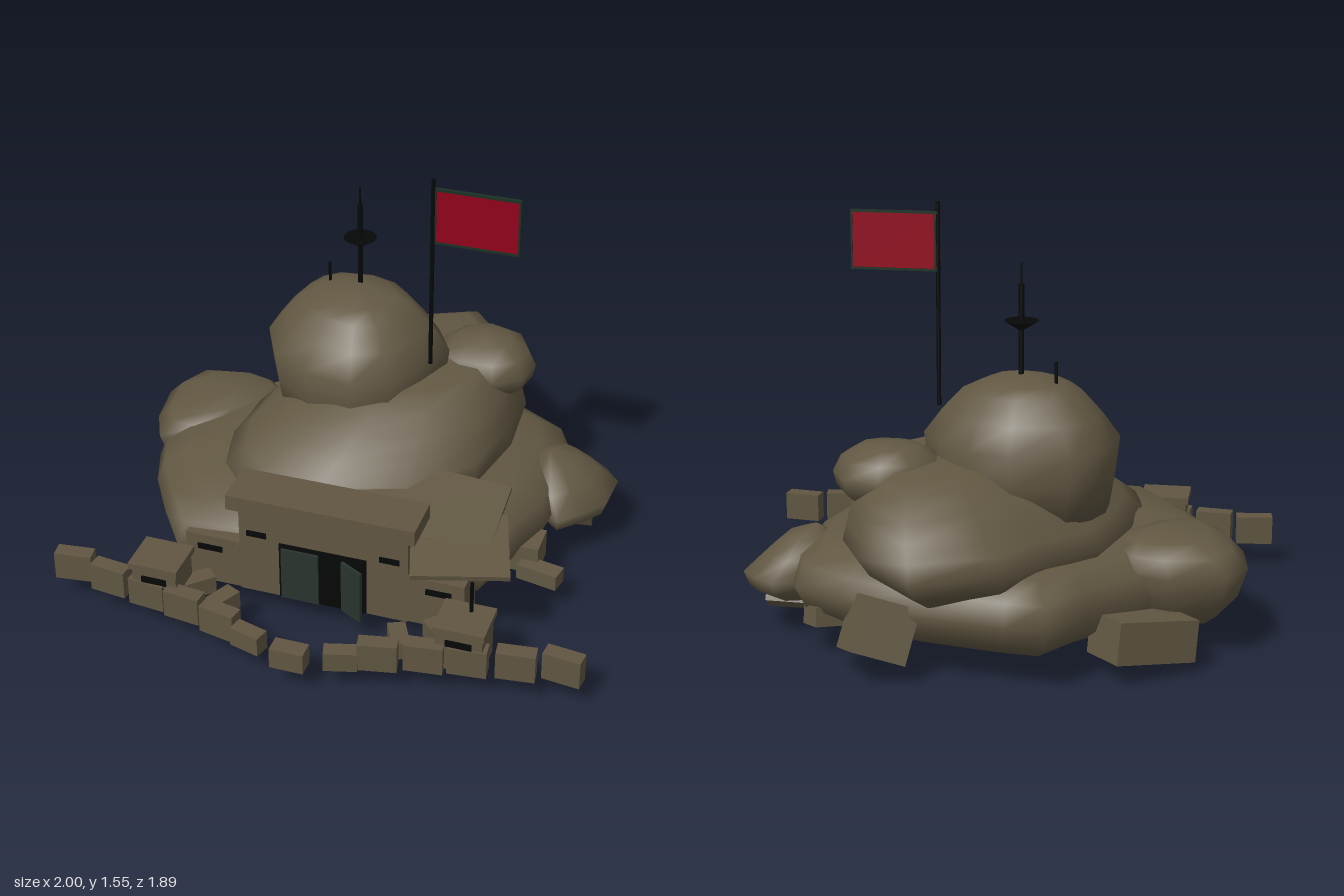
import * as THREE from 'three';
import { mergeVertices } from 'three/addons/utils/BufferGeometryUtils.js';

const mat = (name, color) => {
  const m = new THREE.MeshStandardMaterial({ color });
  m.name = name;
  return m;
};

export function createModel() {
  const model = new THREE.Group();
  model.name = 'rockBunker';
  const stone = mat('stone', 0x625843);
  const concrete = mat('concrete', 0x605641);
  const black = mat('blackMetal', 0x060707);
  const doorGreen = mat('doorGreen', 0x29332d);
  const trim = mat('flagTrim', 0x1b3024);
  const red = mat('flagRed', 0x92001a);

  const add = (name, geo, material, pos = [0, 0, 0], rot = [0, 0, 0]) => {
    const m = new THREE.Mesh(geo, material);
    m.name = name;
    m.position.set(...pos);
    m.rotation.set(...rot);
    model.add(m);
  };
  const box = (name, size, pos, material = concrete, rot) =>
    add(name, new THREE.BoxGeometry(...size), material, pos, rot);
  const rod = (name, r, y0, y1, x, z) =>
    add(name, new THREE.CylinderGeometry(r, r, y1 - y0, 8), black, [x, (y0 + y1) / 2, z]);

  // Rock: a plan outline (clockwise from above) lofted through [height, scale, shift x, shift z] rings
  const rock = (name, [cx, cz], outline, profile) => {
    const n = outline.length, pos = [], idx = [];
    profile.forEach(([y, s, dx = 0, dz = 0]) => outline.forEach(([x, z]) =>
      pos.push(cx + (x - cx) * s + dx, y, cz + (z - cz) * s + dz)));
    for (let j = 0; j < profile.length - 1; j++) {
      for (let i = 0; i < n; i++) {
        const a = j * n + i, b = j * n + (i + 1) % n;
        idx.push(a, a + n, b, b, a + n, b + n);
      }
    }
    let g = new THREE.BufferGeometry();
    g.setAttribute('position', new THREE.Float32BufferAttribute(pos, 3));
    g.setIndex(idx);
    g = mergeVertices(g);
    g.computeVertexNormals();
    add(name, g, stone);
  };

  // Rock mass
  rock('baseRock', [-0.05, -0.1],
    [[-0.3, -0.82], [-0.16, -0.81], [0.2, -0.74], [0.45, -0.64], [0.64, -0.53], [0.7, -0.35], [0.69, 0],
      [0.63, 0.17], [0.56, 0.4], [0.3, 0.5], [0, 0.52], [-0.3, 0.52], [-0.57, 0.55], [-0.69, 0.38],
      [-0.8, 0.2], [-0.86, 0.03], [-0.76, -0.25], [-0.58, -0.47], [-0.42, -0.64]],
    [[0.07, 0], [0.075, 0.55], [0.1, 0.84], [0.15, 0.95], [0.23, 1], [0.31, 0.96], [0.37, 0.84], [0.42, 0.6], [0.44, 0]]);
  rock('middleRock', [0.05, -0.3],
    [[0.14, -0.95], [0.37, -0.7], [0.47, -0.5], [0.49, -0.2], [0.43, 0.1], [0.22, 0.33], [-0.1, 0.44],
      [-0.36, 0.4], [-0.49, 0.25], [-0.54, 0.05], [-0.52, -0.2], [-0.45, -0.45], [-0.29, -0.62], [-0.16, -0.81]],
    [[0.25, 0], [0.27, 0.7], [0.34, 0.9], [0.41, 1], [0.47, 0.92, 0.02, -0.01], [0.53, 0.84, 0.04, -0.03],
      [0.59, 0.74, 0.06, -0.04], [0.65, 0.58, 0.08, -0.04], [0.685, 0.46, 0.09, -0.04], [0.695, 0, 0.09, -0.04]]);
  rock('domeRock', [-0.13, -0.23],
    [[-0.475, -0.32], [-0.43, -0.43], [-0.34, -0.51], [-0.13, -0.54], [0.03, -0.49], [0.14, -0.39], [0.225, -0.25],
      [0.165, -0.1], [0.085, 0.05], [-0.05, 0.105], [-0.235, 0.08], [-0.385, -0.015], [-0.475, -0.19]],
    [[0.48, 0], [0.5, 0.9], [0.63, 0.96], [0.75, 1], [0.84, 0.81], [0.92, 0.6], [0.95, 0.42], [0.985, 0]]);
  rock('shoulderBoulder', [0.32, -0.41],
    [[0.52, -0.42], [0.5, -0.3], [0.4, -0.235], [0.25, -0.235], [0.14, -0.3], [0.12, -0.42], [0.2, -0.55],
      [0.32, -0.59], [0.45, -0.55]],
    [[0.52, 0], [0.54, 0.65], [0.59, 0.94], [0.64, 1], [0.7, 0.85], [0.74, 0.52], [0.755, 0]]);
  rock('rightBoulder', [-0.7, -0.21],
    [[-0.945, -0.28], [-0.88, -0.42], [-0.68, -0.46], [-0.55, -0.43], [-0.47, -0.36], [-0.5, -0.19], [-0.63, -0.03],
      [-0.75, 0.05], [-0.86, 0.03], [-0.92, -0.1]],
    [[0.1, 0], [0.11, 0.55], [0.2, 0.86], [0.31, 1], [0.37, 0.85, 0.02], [0.41, 0.62, 0.05], [0.43, 0, 0.07]]);
  rock('leftBoulder', [0.68, -0.25],
    [[0.88, -0.36], [0.87, -0.2], [0.8, -0.11], [0.72, -0.03], [0.64, -0.1], [0.53, -0.25], [0.6, -0.44],
      [0.74, -0.48], [0.82, -0.43]],
    [[0.12, 0], [0.125, 0.6], [0.165, 0.9], [0.22, 1], [0.29, 0.78, -0.03], [0.35, 0.48, -0.04], [0.385, 0, -0.05]]);

  // Loose rubble: size, position, rotation
  [
    [[0.2, 0.2, 0.25], [0.305, 0.155, -0.68], [0.32, 0.42, 0.22]],
    [[0.32, 0.15, 0.2], [-0.6, 0.125, -0.52], [0.1, 0.66, 0.08]],
    [[0.16, 0.06, 0.07], [0.71, 0.125, 0.17], [0, -0.2, 0]],
    [[0.15, 0.11, 0.13], [0.62, 0.155, 0.085], [0, 0, 0]],
    [[0.22, 0.08, 0.14], [0.69, 0.12, -0.3], [0.5, 0.1, 0]],
    [[0.12, 0.07, 0.1], [0.54, 0.125, -0.5], [0.2, 0.7, 0]],
    [[0.1, 0.06, 0.09], [-0.19, 0.09, 0], [0.3, 0.5, 0.2]],
  ].forEach(([s, p, r]) => box('rubble', s, p, stone, r));

  // Bunker front
  box('frontWall', [0.64, 0.355, 0.15], [0, 0.267, 0.48]);
  box('roofLintel', [0.71, 0.06, 0.183], [-0.005, 0.478, 0.485]);
  box('doorRecess', [0.33, 0.235, 0.008], [0, 0.21, 0.558], black);
  box('closedDoor', [0.142, 0.215, 0.012], [-0.084, 0.205, 0.566], doorGreen);
  box('openDoor', [0.1, 0.215, 0.012], [0.122, 0.205, 0.595], doorGreen, [0, -0.5, 0]);

  // Tilted slabs over the left wing, with a prop
  box('upperSlab', [0.54, 0.02, 0.33], [0.315, 0.441, 0.308], concrete, [0.22, 0, -0.07]);
  box('lowerSlab', [0.35, 0.02, 0.3], [0.48, 0.395, 0.46], concrete, [0.18, 0.3, -0.06]);
  rod('slabProp', 0.007, 0.27, 0.4, 0.582, 0.65);

  // Mirrored wings, gun boxes and low barrier blocks: x, z, top, yaw
  const blocks = [[0.925, 0.68, 0.2, -0.12], [0.765, 0.715, 0.2, 0.12], [0.6, 0.745, 0.2, 0.1],
    [0.45, 0.775, 0.2, 0.12], [0.295, 0.82, 0.2, 0.2], [0.172, 0.86, 0.165, 0.27]];
  for (const s of [-1, 1]) {
    box('wing', [0.21, 0.2, 0.145], [s * 0.425, 0.195, 0.483]);
    box('wingSlit', [0.095, 0.022, 0.008], [s * 0.435, 0.246, 0.558], black);
    box('wallSlit', [0.075, 0.021, 0.008], [s * 0.252, 0.347, 0.558], black);
    box('gunBox', [0.17, 0.16, 0.145], [s * 0.57, 0.175, 0.692]);
    box('gunBoxCap', [0.188, 0.025, 0.17], [s * 0.57, 0.265, 0.692]);
    box('gunBoxSlit', [0.095, 0.025, 0.008], [s * 0.57, 0.212, 0.767], black);
    blocks.forEach(([x, z, top, yaw]) => box('barrierBlock', [x < 0.2 ? 0.12 : 0.14, top - 0.09, 0.06],
      [s * x, (top + 0.09) / 2, z], concrete, [0, s * yaw, 0]));
    box('innerBlock', [0.065, 0.07, 0.12], [s * 0.335, 0.125, 0.705], concrete, [0, s * 0.45, 0]);
    box('innerBlock', [0.065, 0.07, 0.12], [s * 0.46, 0.125, 0.63], concrete, [0, s * 0.8, 0]);
  }
  box('barrierBlock', [0.125, 0.08, 0.07], [0, 0.13, 0.91]);

  // Antennas on the dome
  rod('mast', 0.01, 0.95, 1.3, -0.127, -0.25);
  rod('mastTip', 0.004, 1.3, 1.375, -0.127, -0.25);
  add('dish', new THREE.CylinderGeometry(0.062, 0.012, 0.032, 20), black, [-0.127, 1.154, -0.25]);
  rod('shortAntenna', 0.006, 0.9, 1.03, -0.255, -0.273);

  // Flag with a narrow border
  rod('flagPole', 0.008, 0.8, 1.55, 0.207, -0.06);
  box('flagCloth', [0.31, 0.204, 0.008], [0.367, 1.406, -0.065], red);
  for (const y of [1.302, 1.511]) box('flagBorder', [0.318, 0.009, 0.014], [0.367, y, -0.065], trim);
  for (const x of [0.216, 0.522]) box('flagBorder', [0.007, 0.2, 0.014], [x, 1.406, -0.065], trim);

  return model;
}
